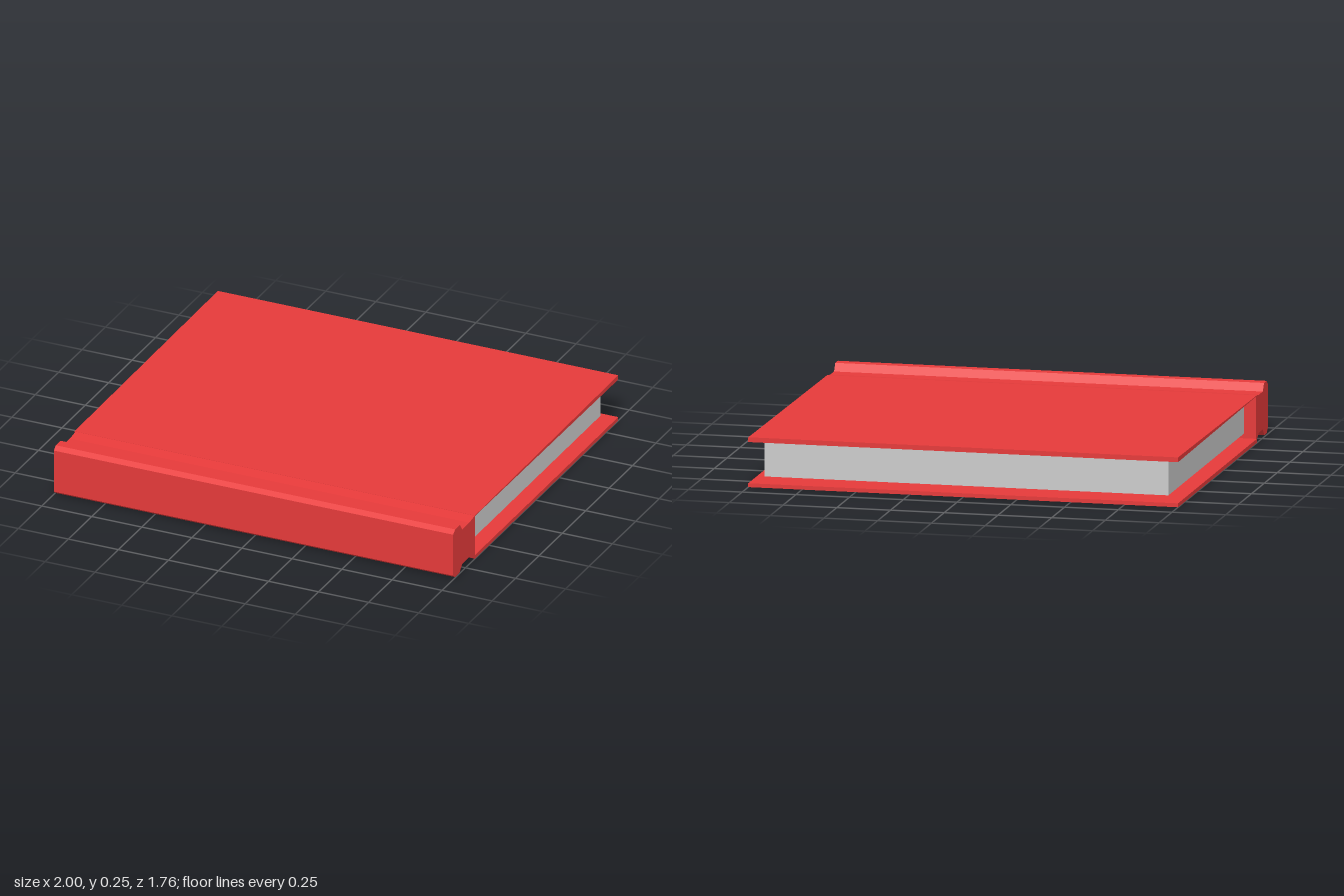
import * as THREE from 'three';

const red = new THREE.MeshStandardMaterial({ color: 0xe63a3a, flatShading: true, side: THREE.DoubleSide });
const grey = new THREE.MeshStandardMaterial({ color: 0xcccccc, flatShading: true });

// Extrude a [z, y] cross-section along x between x0 and x1
function prism(name, profile, x0, x1, material) {
  const shape = new THREE.Shape(profile.map(([z, y]) => new THREE.Vector2(-z, y)));
  const geometry = new THREE.ExtrudeGeometry(shape, { depth: x1 - x0, bevelEnabled: false });
  geometry.rotateY(Math.PI / 2).translate(x0, 0, 0);
  const mesh = new THREE.Mesh(geometry, material);
  mesh.name = name;
  return mesh;
}

export function createModel() {
  const book = new THREE.Group();
  book.name = 'book';

  // Spine with raised front ridge and hinge grooves above and below
  book.add(prism('spine', [
    [0.65, 0], [0.71, 0.035], [0.785, 0.035], [0.815, 0.003], [0.86, 0.003], [0.882, 0.02],
    [0.882, 0.228], [0.86, 0.245], [0.81, 0.245], [0.785, 0.21], [0.71, 0.21], [0.65, 0.218],
  ], -0.995, 1, red));

  // Flat back cover, and front cover that thickens away from the spine
  book.add(prism('bottomCover', [[0.65, 0], [0.65, 0.018], [-0.882, 0.018], [-0.882, 0]], -1, 1, red));
  book.add(prism('topCover', [[0.65, 0.216], [0.65, 0.219], [-0.882, 0.23], [-0.882, 0.208]], -1, 1, red));

  // Page block, inset from the cover edges
  book.add(prism('pages', [[0.66, 0.04], [0.66, 0.207], [-0.82, 0.207], [-0.82, 0.04]], -0.94, 0.94, grey));

  return book;
}
